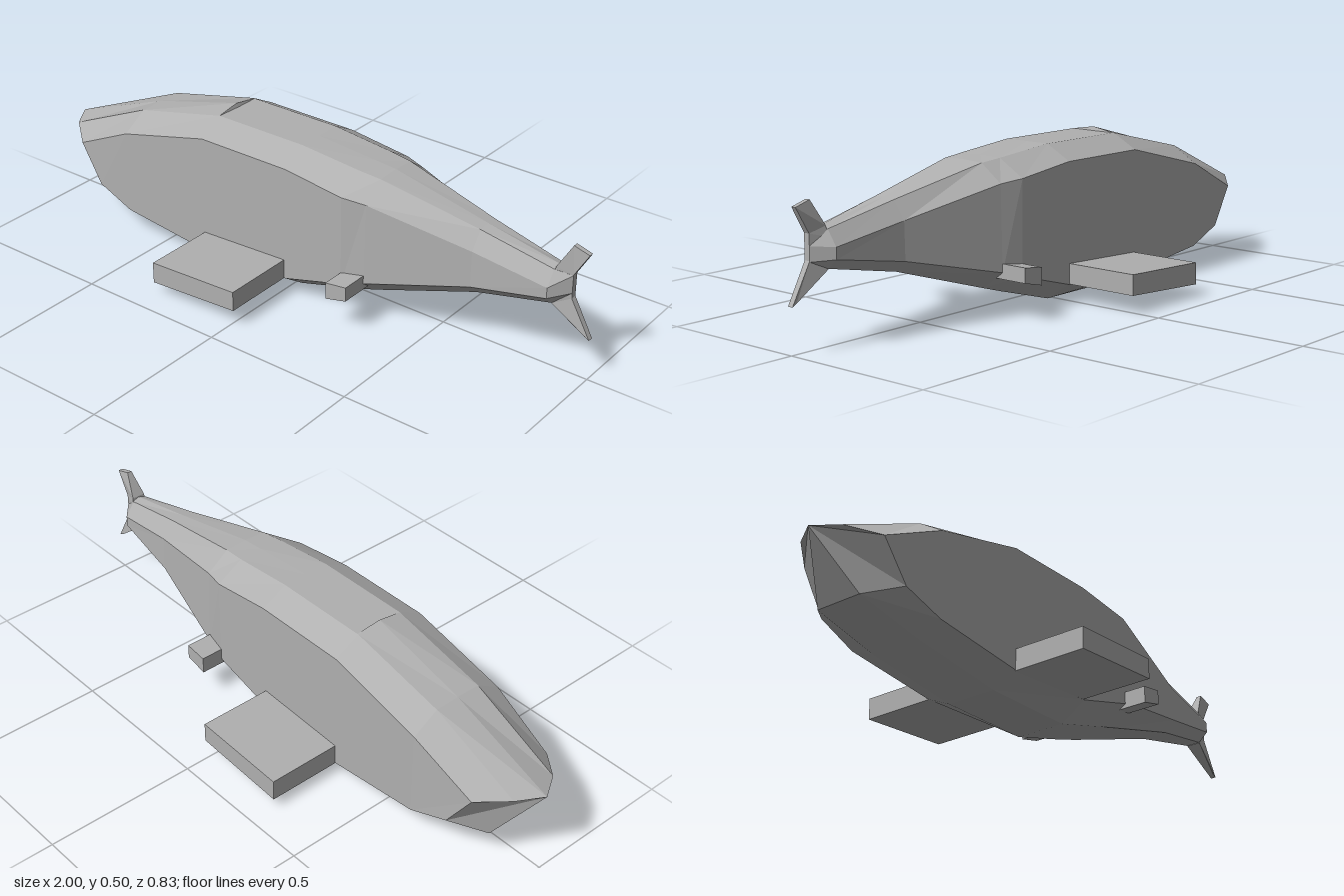
import * as THREE from 'three';

// Skin a list of equal-length closed rings with flat faces and capped ends
function loft(rings, material, name) {
  const pos = [];
  const tri = (...pts) => pts.forEach((p) => pos.push(...p));
  const n = rings[0].length;
  for (let r = 0; r < rings.length - 1; r++) {
    const a = rings[r], b = rings[r + 1];
    for (let i = 0; i < n; i++) {
      const j = (i + 1) % n;
      tri(a[i], a[j], b[i]);
      tri(a[j], b[j], b[i]);
    }
  }
  const first = rings[0], last = rings[rings.length - 1];
  for (let i = 1; i < n - 1; i++) {
    tri(first[0], first[i + 1], first[i]);
    tri(last[0], last[i], last[i + 1]);
  }
  const geo = new THREE.BufferGeometry();
  geo.setAttribute('position', new THREE.Float32BufferAttribute(pos, 3));
  geo.computeVertexNormals();
  const mesh = new THREE.Mesh(geo, material);
  mesh.name = name;
  return mesh;
}

// Half outline from ridge to keel, mirrored across z into a ring
function mirrorRing(half) {
  const other = half.slice(1, -1).reverse().map(([x, y, z]) => [x, y, -z]);
  return [...half, ...other];
}

// Slab fin running through the body, with a slightly tilted side profile
function finPair(corners, reach, material, name) {
  const shape = new THREE.Shape(corners.map(([x, y]) => new THREE.Vector2(x, y)));
  const geo = new THREE.ExtrudeGeometry(shape, { depth: reach * 2, bevelEnabled: false });
  geo.translate(0, 0, -reach);
  const mesh = new THREE.Mesh(geo, material);
  mesh.name = name;
  return mesh;
}

export function createModel() {
  const group = new THREE.Group();
  group.name = 'whale';
  const skin = new THREE.MeshStandardMaterial({ color: 0xb0b0b0 });
  skin.name = 'grey skin';

  // Slanted snout ring: ridge, upper edge, shoulder, jaw, keel edge, keel
  const snout = mirrorRing([
    [-1, 0.278, 0], [-0.95, 0.275, 0.08], [-0.86, 0.255, 0.155],
    [-0.775, 0.13, 0.163], [-0.87, 0.095, 0.08], [-0.87, 0.095, 0],
  ]);

  // x, ridge y, upper edge y z, shoulder y z, lower side y z, keel y z
  const stations = [
    [-0.64, 0.415, 0.413, 0.083, 0.36, 0.17, 0.08, 0.17, 0.045, 0.085],
    [-0.31, 0.503, 0.49, 0.083, 0.443, 0.17, 0.042, 0.17, 0.003, 0.085],
    [-0.305, 0.49, 0.49, 0.083, 0.443, 0.17, 0.042, 0.17, 0.003, 0.085],
    [0.02, 0.49, 0.49, 0.083, 0.443, 0.17, 0.06, 0.17, 0.003, 0.085],
    [0.235, 0.473, 0.47, 0.08, 0.417, 0.17, 0.12, 0.17, 0.063, 0.085],
    [0.31, 0.467, 0.463, 0.075, 0.408, 0.15, 0.143, 0.157, 0.085, 0.08],
    [0.64, 0.397, 0.393, 0.04, 0.337, 0.08, 0.22, 0.083, 0.185, 0.045],
    [0.88, 0.35, 0.342, 0.025, 0.295, 0.058, 0.26, 0.058, 0.23, 0.025],
    [0.935, 0.335, 0.333, 0.01, 0.3, 0.01, 0.275, 0.01, 0.255, 0.01],
  ].map(([x, ridge, ey, ez, sy, sz, ly, lz, ky, kz]) => mirrorRing([
    [x, ridge, 0], [x, ey, ez], [x, sy, sz], [x, ly, lz], [x, ky, kz], [x, ky, 0],
  ]));
  group.add(loft([snout, ...stations], skin, 'body'));

  // Upright tail lobes, each tapering from a thick root to a thin tip
  const lobeRing = (x0, y0, z0, x1, y1, z1) => [
    [x0, y0, z0], [x1, y1, z1], [x1, y1, -z1], [x0, y0, -z0],
  ];
  group.add(loft([
    lobeRing(0.88, 0.32, 0.027, 0.935, 0.3, 0.01),
    lobeRing(0.885, 0.352, 0.023, 0.935, 0.335, 0.01),
    lobeRing(0.928, 0.428, 0.008, 0.98, 0.413, 0.008),
  ], skin, 'upperTailLobe'));
  group.add(loft([
    lobeRing(0.985, 0.148, 0.009, 1, 0.14, 0.009),
    lobeRing(0.88, 0.229, 0.025, 0.935, 0.258, 0.01),
    lobeRing(0.88, 0.26, 0.027, 0.935, 0.29, 0.01),
  ], skin, 'lowerTailLobe'));

  // Large front fins and small rear fins
  group.add(finPair(
    [[-0.31, 0.04], [0.015, 0.06], [0.015, 0.125], [-0.31, 0.11]], 0.415, skin, 'frontFins'));
  group.add(finPair(
    [[0.235, 0.105], [0.31, 0.123], [0.31, 0.17], [0.235, 0.16]], 0.245, skin, 'rearFins'));

  return group;
}
